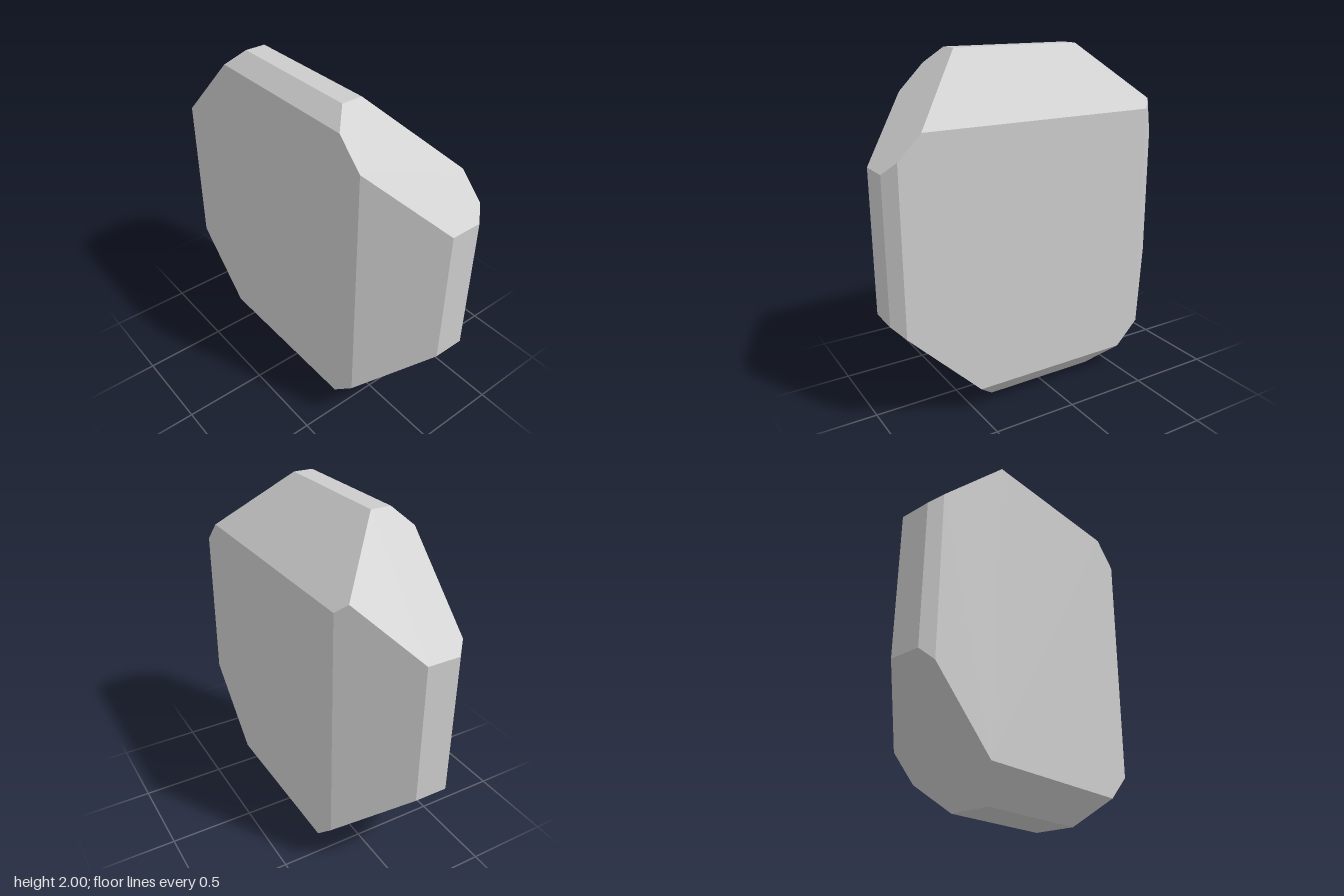
import * as THREE from 'three';

// Bevelled slab: each plane is [normal signs, limit], meaning n . p <= limit
const PLANES = [
  // flat sides
  [1, 0, 0, 0.284], [-1, 0, 0, 0.285],
  [0, 1, 0, 2], [0, -1, 0, 0],
  [0, 0, 1, 0.967], [0, 0, -1, 0.966],
  // bevels running front to back
  [1, 1, 0, 1.922], [-1, 1, 0, 2.197], [-1, -1, 0, 0.12], [1, -1, 0, 0.14],
  // bevels running side to side
  [0, 1, 1, 2.41], [0, 1, -1, 2.385], [0, -1, 1, 0.333], [0, -1, -1, 0.358],
  // upright bevels
  [1, 0, 1, 1.187], [-1, 0, 1, 0.931], [1, 0, -1, 0.928], [-1, 0, -1, 1.194],
].map(([x, y, z, limit]) => ({ n: new THREE.Vector3(x, y, z), limit }));

// Point shared by three planes, or null when they do not meet in one point
function meet(a, b, c) {
  const bc = b.n.clone().cross(c.n);
  const det = a.n.dot(bc);
  if (Math.abs(det) < 1e-6) return null;
  return bc.multiplyScalar(a.limit)
    .addScaledVector(c.n.clone().cross(a.n), b.limit)
    .addScaledVector(a.n.clone().cross(b.n), c.limit)
    .divideScalar(det);
}

// Corners of the solid: plane meetings that lie inside every other plane
function findCorners(planes) {
  const corners = [];
  for (let i = 0; i < planes.length; i++)
    for (let j = i + 1; j < planes.length; j++)
      for (let k = j + 1; k < planes.length; k++) {
        const p = meet(planes[i], planes[j], planes[k]);
        if (!p || planes.some(q => q.n.dot(p) > q.limit + 1e-5)) continue;
        if (!corners.some(c => c.distanceTo(p) < 1e-4)) corners.push(p);
      }
  return corners;
}

// Flat polygon on every plane, corners sorted counter-clockwise and fanned
function slabGeometry(planes) {
  const corners = findCorners(planes);
  const positions = [];
  for (const { n, limit } of planes) {
    const face = corners.filter(p => Math.abs(n.dot(p) - limit) < 1e-3);
    if (face.length < 3) continue;
    const mid = face.reduce((s, p) => s.add(p), new THREE.Vector3()).divideScalar(face.length);
    const u = face[0].clone().sub(mid).normalize();
    const v = n.clone().normalize().cross(u);
    const angle = p => {
      const d = p.clone().sub(mid);
      return Math.atan2(d.dot(v), d.dot(u));
    };
    face.sort((a, b) => angle(a) - angle(b));
    for (let i = 1; i < face.length - 1; i++)
      for (const p of [face[0], face[i], face[i + 1]]) positions.push(p.x, p.y, p.z);
  }
  const geometry = new THREE.BufferGeometry();
  geometry.setAttribute('position', new THREE.Float32BufferAttribute(positions, 3));
  geometry.computeVertexNormals();
  return geometry;
}

export function createModel() {
  const group = new THREE.Group();
  group.name = 'bevelledBlock';
  const material = new THREE.MeshStandardMaterial({ color: 0xcccccc, flatShading: true });
  const slab = new THREE.Mesh(slabGeometry(PLANES), material);
  slab.name = 'slab';
  group.add(slab);
  return group;
}
